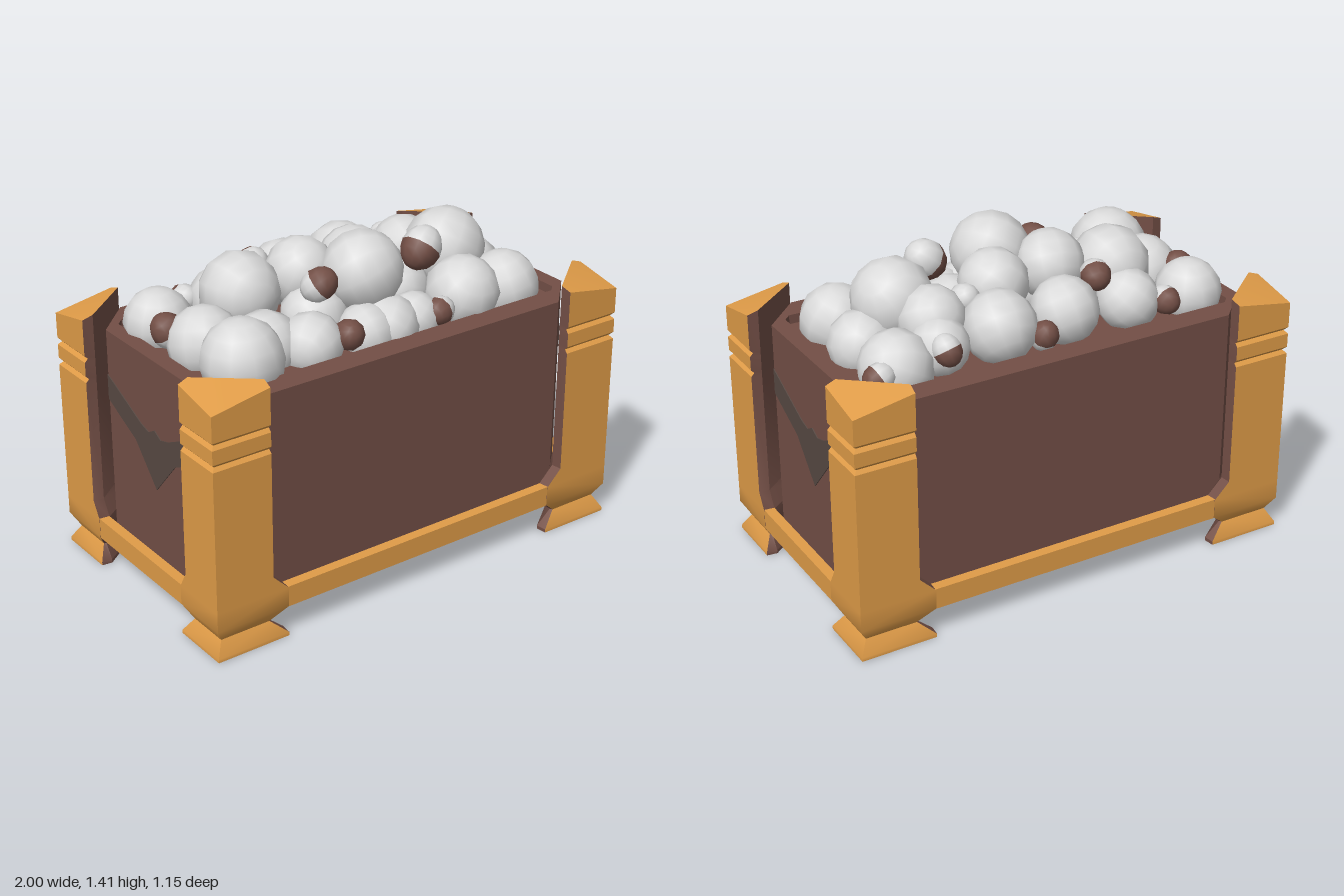
import * as THREE from 'three';
import { toCreasedNormals } from 'three/addons/utils/BufferGeometryUtils.js';

const mat = (name, color, side = THREE.FrontSide) => {
  const m = new THREE.MeshStandardMaterial({ color, side });
  m.name = name;
  return m;
};

export function createModel() {
  const group = new THREE.Group();
  const gold = mat('golden wood', 0xe09c48);
  const brown = mat('brown', 0x734f46);
  const grey = mat('dark emblem', 0x574943);
  const white = mat('white fluff', 0xdadada);

  const add = (name, geo, material, x = 0, y = 0, z = 0, parent = group) => {
    const mesh = new THREE.Mesh(geo, material);
    mesh.name = name;
    mesh.position.set(x, y, z);
    parent.add(mesh);
    return mesh;
  };

  // Octagonal tub: walls with an opening, floor and filling bed
  const octagon = (w, d, cx, cz, Type = THREE.Shape) => new Type([
    [w, -d + cz], [w, d - cz], [w - cx, d], [-w + cx, d],
    [-w, d - cz], [-w, -d + cz], [-w + cx, -d], [w - cx, -d],
  ].map(([x, y]) => new THREE.Vector2(x, y)));
  const slab = (shape, depth) =>
    new THREE.ExtrudeGeometry(shape, { depth, bevelEnabled: false }).rotateX(-Math.PI / 2);
  const wall = octagon(0.9, 0.51, 0.16, 0.16);
  wall.holes.push(octagon(0.83, 0.4, 0.03, 0.03, THREE.Path));
  add('tubWall', slab(wall, 0.93), brown, 0, 0.11, 0);
  add('tubFloor', slab(octagon(0.895, 0.505, 0.16, 0.16), 0.03), brown, 0, 0.112, 0);
  add('fillingBed', slab(octagon(0.84, 0.41, 0.03, 0.03), 0.02), brown, 0, 0.98, 0);

  // Winged emblem plate on each end
  const half = [[0.35, 0.845], [0.1, 0.725], [0.045, 0.71], [0, 0.735]];
  const low = [[0.35, 0.735], [0.147, 0.635]];
  const flip = ([z, y]) => [-z, y];
  const outline = [...half, ...half.slice(0, 3).reverse().map(flip),
    ...low.map(flip), [0, 0.47], ...low.slice().reverse()];
  const emblem = new THREE.ExtrudeGeometry(
    new THREE.Shape(outline.map(p => new THREE.Vector2(...p))),
    { depth: 0.006, bevelEnabled: false }).translate(0, 0, -0.003).rotateY(Math.PI / 2);
  for (const s of [-1, 1]) add('endEmblem', emblem, grey, s * 0.901, 0, 0);

  // Corner post: a five-sided section lofted through [height, flare, inset]
  const levels = [[0, 1, 0], [0.015, 1, 0], [0.075, 0, 0.035], [0.135, 1, 0], [0.22, 1, 0],
    [0.29, 0, 0], [0.83, 0, 0], [0.845, 0, 0.014], [0.86, 0, 0], [0.92, 0, 0],
    [0.935, 0, 0.014], [0.95, 0, 0], [1.06, 0, 0]];
  const topRise = [0, 0.045, 0.06, 0.06, 0.045];
  const makePost = (sx, sz) => {
    const rings = levels.map(([y, f, t], k) => [
      [1 - t, 0.577 - t], [0.74 - 0.07 * f, 0.577 - t], [0.735 - 0.07 * f, 0.53],
      [0.955, 0.35 - 0.04 * f], [1 - t, 0.355 - 0.04 * f],
    ].map(([x, z], i) =>
      [sx * x, y + (k === levels.length - 1 ? topRise[i] : 0), sz * z]));
    const outer = [], inner = [];
    const tri = (out, a, b, c) =>
      out.push(...a, ...(sx * sz > 0 ? b : c), ...(sx * sz > 0 ? c : b));
    for (let k = 0; k + 1 < rings.length; k++) {
      for (let i = 0; i < 5; i++) {
        const j = (i + 1) % 5, lo = rings[k], up = rings[k + 1];
        const out = i === 0 || i === 4 ? outer : inner;
        tri(out, lo[i], up[i], up[j]);
        tri(out, lo[i], up[j], lo[j]);
      }
    }
    const bottom = rings[0], top = rings[rings.length - 1];
    for (let i = 1; i < 4; i++) {
      tri(outer, top[0], top[i + 1], top[i]);
      tri(outer, bottom[0], bottom[i], bottom[i + 1]);
    }
    const post = new THREE.Group();
    post.name = 'cornerPost';
    for (const [name, data, m] of [['postOuter', outer, gold], ['postLining', inner, brown]]) {
      const g = new THREE.BufferGeometry();
      g.setAttribute('position', new THREE.Float32BufferAttribute(data, 3));
      add(name, toCreasedNormals(g, 0.7), m, 0, 0, 0, post);
    }
    group.add(post);
  };
  for (const sx of [-1, 1]) for (const sz of [-1, 1]) makePost(sx, sz);

  // Bottom rails between the posts
  for (const s of [-1, 1]) {
    add('longRail', new THREE.BoxGeometry(1.36, 0.09, 0.045), gold, 0, 0.178, s * 0.5535);
    add('endRail', new THREE.BoxGeometry(0.044, 0.09, 0.65), gold, s * 0.977, 0.178, 0);
  }

  // Heap of fluffy balls: x, y, z, radius
  const balls = [
    [-0.71, 1.06, -0.26, 0.14], [-0.41, 1.09, -0.26, 0.13], [-0.1, 1.12, -0.27, 0.14],
    [0.2, 1.12, -0.27, 0.15], [0.46, 1.09, -0.25, 0.12], [0.65, 1.05, -0.25, 0.15],
    [-0.43, 1.18, -0.09, 0.165], [-0.17, 1.22, -0.04, 0.145], [0.1, 1.2, -0.05, 0.145],
    [0.43, 1.15, -0.13, 0.14], [0.51, 1.19, 0.04, 0.17], [-0.67, 1.06, 0.02, 0.15],
    [-0.66, 1.08, 0.27, 0.165], [0, 1.245, 0.15, 0.165], [-0.33, 1.05, 0.26, 0.13],
    [0.43, 1.08, 0.26, 0.155], [0.66, 1.05, 0.25, 0.15], [0.03, 1.04, 0.28, 0.13],
    [-0.48, 1.05, 0.16, 0.14], [0.67, 1.05, 0, 0.14], [0.24, 1.08, 0.06, 0.14],
    [-0.08, 1.04, 0.28, 0.12], [0.16, 1.04, 0.28, 0.11], [-0.2, 1.08, 0.1, 0.14],
  ];
  const ballGeo = new THREE.SphereGeometry(1.02, 11, 8);
  balls.forEach(([x, y, z, r], i) => {
    const b = add('fluffBall', ballGeo, white, x, y, z);
    b.scale.setScalar(r);
    b.rotation.set(i * 1.3, i * 0.7, i * 2.1);
  });

  // Two-tone pods: position, radius, direction of the white end
  const pods = [
    [-0.76, 1.09, -0.1, 0.07, 0.5, -0.8, 0.2], [-0.54, 1.09, -0.34, 0.06, 0.2, 0.3, 1],
    [-0.27, 1.22, -0.23, 0.065, -0.3, 0.2, 1], [0.27, 1.19, -0.11, 0.065, 0, 0.7, -0.7],
    [0.48, 1.12, -0.35, 0.06, 0.2, 0.8, 0.5], [0.05, 1.08, -0.36, 0.06, 0, -0.8, 0.5],
    [0.77, 1.07, -0.34, 0.06, -0.8, 0.4, 0], [-0.22, 1.24, 0.16, 0.07, -0.5, -0.5, -0.4],
    [0.3, 1.27, 0.15, 0.085, 0.7, 0.7, -0.2], [-0.2, 1.08, 0.33, 0.065, 0.2, -0.5, -0.8],
    [0.25, 1.07, 0.34, 0.06, 0.8, 0.1, -0.3],
  ];
  const cap = new THREE.SphereGeometry(1, 10, 4, 0, Math.PI * 2, 0, Math.PI / 2);
  const up = new THREE.Vector3(0, 1, 0);
  for (const [x, y, z, r, ...dir] of pods) {
    const pod = new THREE.Group();
    pod.name = 'pod';
    pod.position.set(x, y, z);
    pod.quaternion.setFromUnitVectors(up, new THREE.Vector3(...dir).normalize());
    pod.scale.set(r, r * 1.15, r);
    add('podFluff', cap, white, 0, 0, 0, pod);
    add('podShell', cap, brown, 0, 0, 0, pod).rotation.x = Math.PI;
    group.add(pod);
  }
  return group;
}
